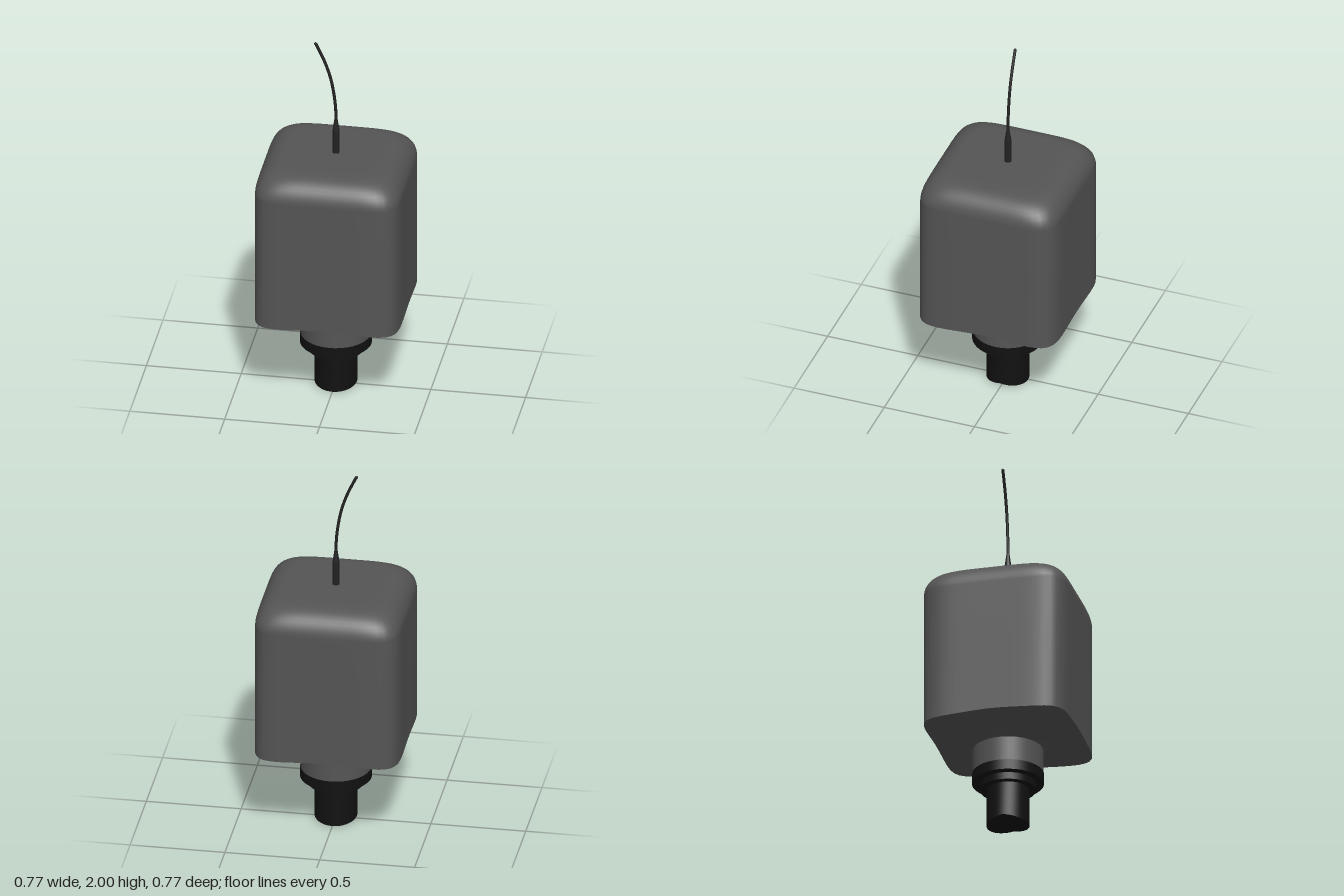
import * as THREE from 'three';

const shellMat = new THREE.MeshStandardMaterial({ color: 0x555555 });
const blackMat = new THREE.MeshStandardMaterial({ color: 0x111111 });
const antennaMat = new THREE.MeshStandardMaterial({ color: 0x222222 });

// Skins a stack of superellipse rings: half width h, squareness n, height y, corner drop
function loft(rings, seg = 96) {
  const pos = [], idx = [];
  for (const { y, h, n, drop = 0 } of rings) {
    for (let j = 0; j < seg; j++) {
      const a = (j / seg) * Math.PI * 2, c = Math.cos(a), s = Math.sin(a);
      const r = h / Math.pow(Math.abs(c) ** n + Math.abs(s) ** n, 1 / n);
      pos.push(r * c, y - drop * Math.sin(2 * a) ** 2, r * s);
    }
  }
  for (let i = 0; i < rings.length - 1; i++) {
    for (let j = 0; j < seg; j++) {
      const k = (j + 1) % seg, p = i * seg, q = p + seg;
      idx.push(p + j, q + j, p + k, p + k, q + j, q + k);
    }
  }
  const g = new THREE.BufferGeometry();
  g.setAttribute('position', new THREE.Float32BufferAttribute(pos, 3));
  g.setIndex(idx);
  g.computeVertexNormals();
  return g;
}

export function createModel() {
  const model = new THREE.Group();
  const add = (name, geo, mat) => {
    const m = new THREE.Mesh(geo, mat);
    m.name = name;
    model.add(m);
    return m;
  };
  const cylinder = (name, rTop, rBottom, y0, y1, mat, seg = 48) => {
    const m = add(name, new THREE.CylinderGeometry(rTop, rBottom, y1 - y0, seg), mat);
    m.position.y = (y0 + y1) / 2;
    return m;
  };

  // Housing: straight walls, rounded shoulder, flat top
  const H = 0.385, R = 0.13, top = 1.36, rim = { y: 0.503, h: H, n: 7, drop: 0.014 };
  const walls = [rim, { y: 0.56, h: H, n: 7 }, { y: 0.9, h: H, n: 7 }];
  for (let i = 0; i <= 10; i++) {
    const t = (i / 10) * Math.PI / 2;
    walls.push({ y: top - R + R * Math.sin(t), h: H - R + R * Math.cos(t), n: 7 - 2.5 * i / 10 });
  }
  walls.push({ y: top, h: 0.2, n: 4 }, { y: top, h: 0.0005, n: 2 });
  add('housing', loft(walls), shellMat);

  // Underside flares from the round neck to the square rim
  add('underside', loft([
    { y: 0.43, h: 0.184, n: 2 },
    { y: 0.452, h: 0.225, n: 2.6 },
    { y: 0.474, h: 0.285, n: 3.8, drop: 0.004 },
    { y: 0.49, h: 0.34, n: 5.4, drop: 0.009 },
    rim,
  ]), shellMat);

  // Neck and stepped collar
  cylinder('neck', 0.184, 0.184, 0.29, 0.44, shellMat);
  cylinder('collar', 0.187, 0.187, 0.243, 0.298, blackMat);
  cylinder('collarStep', 0.146, 0.146, 0.205, 0.245, blackMat);

  // Plug with a shallow V across its lower end
  const plugR = 0.112;
  const plug = cylinder('plug', plugR, plugR, 0, 0.21, blackMat);
  const p = plug.geometry.attributes.position;
  for (let i = 0; i < p.count; i++) {
    if (p.getY(i) < 0) p.setY(i, p.getY(i) + 0.02 * (1 - Math.abs(p.getZ(i)) / plugR));
  }
  plug.geometry.computeVertexNormals();

  // Antenna: socket, taper and bent whip
  cylinder('antennaSocket', 0.018, 0.018, 1.35, 1.49, antennaMat, 20);
  cylinder('antennaTaper', 0.008, 0.018, 1.49, 1.56, antennaMat, 20);
  const bend = new THREE.CatmullRomCurve3([
    [0, 1.54], [-0.002, 1.62], [-0.012, 1.71], [-0.03, 1.8], [-0.06, 1.89], [-0.108, 1.996],
  ].map(([x, y]) => new THREE.Vector3(x, y, 0)));
  add('antennaWhip', new THREE.TubeGeometry(bend, 32, 0.008, 10), antennaMat);
  const tip = add('antennaTip', new THREE.SphereGeometry(0.008, 10, 8), antennaMat);
  tip.position.set(-0.108, 1.992, 0);

  return model;
}
